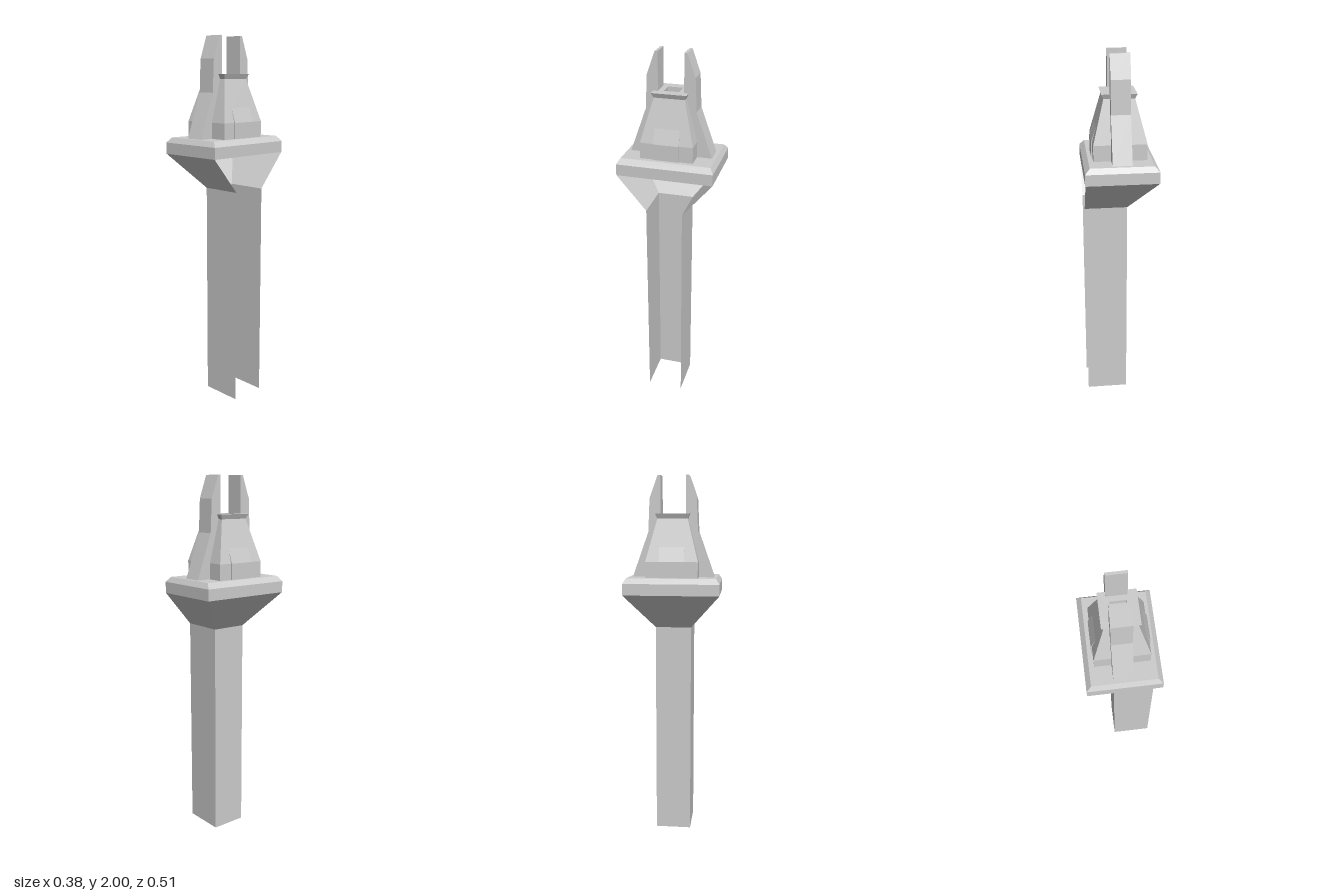
import * as THREE from 'three';

const stone = new THREE.MeshStandardMaterial({ color: 0xcccccc, side: THREE.DoubleSide, flatShading: true });
stone.name = 'pale grey stone';

// Skin between stacked rectangles [y, xMin, xMax, zHalf]; side 1 (+x) may be left open.
function loft(name, rings, { openRight = false, capTop = false } = {}) {
  const corners = rings.map(([y, x0, x1, z]) => [[x0, y, z], [x1, y, z], [x1, y, -z], [x0, y, -z]]);
  const pos = [];
  const quad = (a, b, c, d) => pos.push(...a, ...b, ...c, ...a, ...c, ...d);
  for (let i = 0; i < corners.length - 1; i++) {
    for (let s = 0; s < 4; s++) {
      if (openRight && s === 1) continue;
      const t = (s + 1) % 4;
      quad(corners[i][s], corners[i][t], corners[i + 1][t], corners[i + 1][s]);
    }
  }
  if (capTop) quad(...corners[corners.length - 1]);
  const geo = new THREE.BufferGeometry();
  geo.setAttribute('position', new THREE.Float32BufferAttribute(pos, 3));
  geo.computeVertexNormals();
  const mesh = new THREE.Mesh(geo, stone);
  mesh.name = name;
  return mesh;
}

// Upright slab with a [distance outward, y] profile, pointing along the given turn.
function fin(name, profile, width, turn) {
  const shape = new THREE.Shape(profile.map(([r, y]) => new THREE.Vector2(r, y)));
  const geo = new THREE.ExtrudeGeometry(shape, { depth: width, bevelEnabled: false });
  geo.translate(0, 0, -width / 2);
  const mesh = new THREE.Mesh(geo, stone);
  mesh.name = name;
  mesh.rotation.y = turn;
  return mesh;
}

export function createModel() {
  const model = new THREE.Group();
  model.name = 'pillar';

  // Channel-shaped shaft and flared corbel, both open on the +x side
  model.add(loft('shaft', [[0, -0.042, 0.188, 0.098], [1.187, -0.042, 0.188, 0.098]], { openRight: true }));
  model.add(loft('corbel', [[1.187, -0.042, 0.188, 0.098], [1.376, -0.19, 0.19, 0.257]], { openRight: true }));

  // Bevelled ledge, hollow underneath
  model.add(loft('ledge', [
    [1.376, -0.191, 0.191, 0.257],
    [1.437, -0.191, 0.191, 0.257],
    [1.465, -0.166, 0.166, 0.239],
  ], { capTop: true }));

  // Tapered tower with flared rim and a shallow square recess on top
  const towerRings = [[1.465, 0.14], [1.55, 0.14], [1.775, 0.081], [1.8, 0.092], [1.8, 0.04], [1.775, 0.04]];
  model.add(loft('tower', towerRings.map(([y, h]) => [y, -h, h, h]), { capTop: true }));

  // Tall buttresses at front and back, low ones on the sides
  const tall = [[0.068, 1.465], [0.22, 1.465], [0.134, 1.705], [0.126, 1.88], [0.083, 2], [0.068, 2]];
  const low = [[0.06, 1.465], [0.146, 1.465], [0.146, 1.55], [0.095, 1.7], [0.06, 1.7]];
  for (const [side, sign] of [['front', -1], ['back', 1]]) {
    const buttress = fin(side + 'Buttress', tall, 0.102, sign * Math.PI / 2);
    buttress.position.x = -0.003;
    model.add(buttress);
  }
  model.add(fin('leftButtress', low, 0.134, 0), fin('rightButtress', low, 0.134, Math.PI));
  return model;
}
